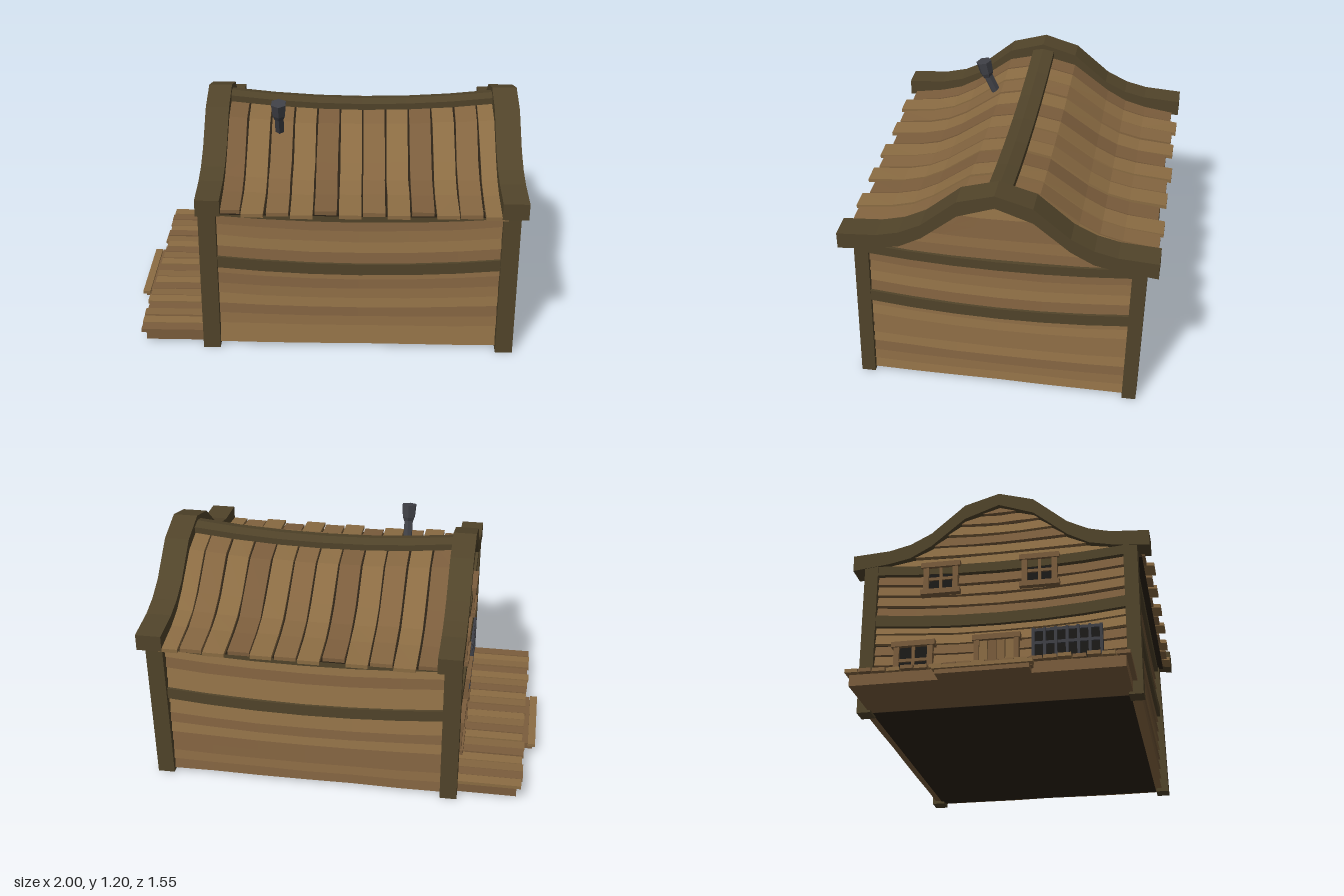
import * as THREE from 'three';

const mat = (c) => new THREE.MeshStandardMaterial({ color: c, flatShading: true, side: THREE.DoubleSide });
const planks = [0x8b6c43, 0x7b5d3c, 0x846540].map(mat);
const beamMat = mat(0x51442a), darkMat = mat(0x2a2115), ironMat = mat(0x3f4046), paneMat = mat(0x1c1a18);

let seed = 7;
const rnd = () => (seed = (seed * 16807) % 2147483647) / 2147483647;
const jit = (a) => (rnd() - 0.5) * 2 * a;

// Closed solid through rings of [x, y, z] corners, with end caps
function loft(parent, name, material, rings) {
  const tris = [], n = rings[0].length;
  for (let i = 0; i < rings.length - 1; i++)
    for (let j = 0; j < n; j++) {
      const k = (j + 1) % n, a = rings[i], b = rings[i + 1];
      tris.push([a[j], a[k], b[k]], [a[j], b[k], b[j]]);
    }
  const first = rings[0], last = rings[rings.length - 1];
  for (let j = 1; j < n - 1; j++) tris.push([first[0], first[j + 1], first[j]], [last[0], last[j], last[j + 1]]);
  // turn the faces outward if the signed volume is negative
  const V = (p) => new THREE.Vector3(...p);
  const volume = tris.reduce((s, [a, b, c]) => s + V(a).dot(V(b).cross(V(c))), 0);
  if (volume < 0) tris.forEach((t) => t.reverse());
  const g = new THREE.BufferGeometry();
  g.setAttribute('position', new THREE.Float32BufferAttribute(tris.flat(2), 3));
  g.computeVertexNormals();
  const m = new THREE.Mesh(g, material);
  m.name = name;
  parent.add(m);
  return m;
}

function box(parent, name, material, x0, x1, y0, y1, z0, z1) {
  const m = new THREE.Mesh(new THREE.BoxGeometry(x1 - x0, y1 - y0, z1 - z0), material);
  m.position.set((x0 + x1) / 2, (y0 + y1) / 2, (z0 + z1) / 2);
  m.name = name;
  parent.add(m);
  return m;
}

function group(parent, name) {
  const g = new THREE.Group();
  g.name = name;
  parent.add(g);
  return g;
}

// Half profiles of the gable: [z, bottom, top] of the trim, [z, y] of the roof planks
const TRIM = [[0, 1.11, 1.178], [0.18, 1.045, 1.125], [0.355, 0.9, 0.975], [0.465, 0.84, 0.92], [0.575, 0.817, 0.893], [0.768, 0.795, 0.88]];
const ROOF = [[0, 1.115], [0.18, 1.07], [0.37, 0.925], [0.47, 0.868], [0.58, 0.836], [0.75, 0.812]];
const CX = 0.183;

// Half width of the gable at height y
function gableHalf(y) {
  for (let i = 0; i < 4; i++) {
    const [z0, a0, b0] = TRIM[i], [z1, a1, b1] = TRIM[i + 1];
    const hi = (a0 + b0) / 2, lo = (a1 + b1) / 2;
    if (y <= hi && y >= lo) return z0 + (z1 - z0) * (hi - y) / (hi - lo);
  }
  return y > 1 ? 0.03 : 0.64;
}

// Sagging horizontal strip on a wall facing local +z
function strip(parent, name, material, y0, y1, h0, h1, d0, d1, sag, rough) {
  const rings = [];
  for (let i = 0; i <= 6; i++) {
    const u = i / 3 - 1, drop = sag * (u * u - 1) + jit(rough);
    rings.push([[u * h0, y0 + drop, d0 - 0.04], [u * h0, y0 + drop, d0], [u * h1, y1 + drop, d1], [u * h1, y1 + drop, d1 - 0.04]]);
  }
  loft(parent, name, material, rings);
}

function wall(parent, name, turn, half, out, gable) {
  const g = group(parent, name);
  g.position.x = CX;
  g.rotation.y = turn;
  const row = (y0, y1, h0, h1, sag, i) =>
    strip(g, 'wallPlank', planks[(i * 2 + (rnd() > 0.6 ? 1 : 0)) % 3], y0 + 0.003, y1 - 0.003, h0, h1, out + 0.012, out - 0.004, sag, 0.0025);
  for (let i = 0; i < 8; i++) row(0.015 + i * 0.0595, 0.015 + (i + 1) * 0.0595, half, half, 0.005 * i, i);
  for (let i = 0; i < 4; i++) row(0.525 + i * 0.061, 0.525 + (i + 1) * 0.061, half, half, 0.036, i);
  strip(g, 'middleBeam', beamMat, 0.47, 0.53, half, half, out + 0.025, out + 0.025, 0.038, 0);
  strip(g, 'topBeam', beamMat, 0.762, 0.812, half, half, out + 0.025, out + 0.025, 0.032, 0);
  if (gable)
    for (let i = 0; i < 6; i++) {
      const y0 = 0.795 + i * 0.058, y1 = y0 + 0.058;
      row(y0, y1, gableHalf(y0), gableHalf(y1), 0.012, i);
    }
  return g;
}

// Framed opening on a wall, centred at s, with pane and bars
function windowFrame(parent, name, s, y0, y1, w, d, barred) {
  const g = group(parent, name), a = s - w / 2, b = s + w / 2, t = 0.028;
  box(g, 'pane', paneMat, a + 0.01, b - 0.01, y0 + 0.01, y1 - 0.01, d - 0.03, d + 0.015);
  if (!barred) {
    box(g, 'sill', planks[1], a - 0.012, b + 0.012, y0, y0 + t, d - 0.02, d + 0.038);
    box(g, 'lintel', planks[1], a - 0.012, b + 0.012, y1 - t, y1, d - 0.02, d + 0.038);
    for (const x of [a, b - t]) box(g, 'jamb', planks[1], x, x + t, y0, y1, d - 0.02, d + 0.03);
    box(g, 'mullion', planks[1], s - 0.008, s + 0.008, y0, y1, d - 0.02, d + 0.024);
    box(g, 'crossBar', planks[1], a, b, (y0 + y1) / 2 - 0.008, (y0 + y1) / 2 + 0.008, d - 0.02, d + 0.024);
  } else {
    for (const y of [y0, y1 - 0.018, y0 + (y1 - y0) * 0.55])
      box(g, 'rail', ironMat, a, b, y, y + 0.016, d - 0.02, d + 0.026);
    for (let i = 0; i < 7; i++) {
      const x = a + (w - 0.014) * i / 6;
      box(g, 'bar', ironMat, x, x + 0.014, y0, y1, d - 0.02, d + 0.032);
    }
  }
}

export function createModel() {
  const model = new THREE.Group();
  model.name = 'cabin';

  // Dark core behind the planks
  const shape = new THREE.Shape([[-0.64, 0.012], [0.64, 0.012], [0.64, 0.75], [0.47, 0.79], [0.36, 0.85], [0.17, 1.0], [0, 1.05],
    [-0.17, 1.0], [-0.36, 0.85], [-0.47, 0.79], [-0.64, 0.75]].map((p) => new THREE.Vector2(...p)));
  const core = new THREE.Mesh(new THREE.ExtrudeGeometry(shape, { depth: 1.5, bevelEnabled: false }), darkMat);
  core.rotation.y = Math.PI / 2;
  core.position.x = CX - 0.75;
  core.name = 'core';
  model.add(core);

  // Walls
  wall(model, 'frontWall', 0, 0.74, 0.665, false);
  wall(model, 'backWall', Math.PI, 0.74, 0.665, false);
  wall(model, 'leftWall', Math.PI / 2, 0.645, 0.765, true);
  const facade = wall(model, 'porchWall', -Math.PI / 2, 0.645, 0.765, true);

  // Windows and door of the porch side
  const d = 0.77;
  windowFrame(facade, 'lowerWindow', -0.43, 0.165, 0.365, 0.2, d);
  windowFrame(facade, 'upperWindow', -0.3, 0.62, 0.8, 0.18, d);
  windowFrame(facade, 'upperWindow', 0.21, 0.62, 0.8, 0.18, d);
  windowFrame(facade, 'barredWindow', 0.345, 0.19, 0.385, 0.35, d, true);
  const door = group(facade, 'door');
  for (let i = 0; i < 4; i++) {
    const x = -0.095 + i * 0.044;
    box(door, 'doorPlank', planks[i % 3], x, x + 0.041, 0.09, 0.345, d - 0.03, d + 0.022);
  }
  for (const x of [-0.12, 0.08]) box(door, 'doorPost', planks[1], x, x + 0.026, 0.085, 0.36, d - 0.03, d + 0.034);
  box(door, 'doorLintel', planks[1], -0.128, 0.114, 0.34, 0.368, d - 0.03, d + 0.04);
  box(door, 'handle', ironMat, 0.05, 0.062, 0.19, 0.23, d, d + 0.034);

  // Leaning corner posts
  for (const [x0, x1] of [[-0.612, -0.525], [0.888, 0.975]])
    for (const s of [1, -1]) {
      const lean = x0 > 0 ? 0.01 : 0;
      const ring = (y, a, b) => [[x0, y, a], [x1, y, a], [x1, y, b], [x0, y, b]];
      loft(model, 'cornerPost', beamMat, [ring(0, s * 0.635 + lean, s * 0.705 + lean), ring(0.84, s * 0.635 - lean, s * 0.705 - lean)]);
    }

  // Curved gable trims
  const trim = [...TRIM.slice(1).reverse().map(([z, a, b]) => [-z, a, b]), ...TRIM];
  for (const [x0, x1] of [[-0.615, -0.495], [0.872, 1.0]])
    loft(model, 'gableTrim', beamMat, trim.map(([z, a, b]) => [[x0, a, z], [x1, a, z], [x1, b, z], [x0, b, z]]));

  // Sagging roof planks over a dark underlay
  const sag = (x, z) => (1 - ((x - 0.188) / 0.69) ** 2) * (0.042 - 0.04 * Math.min(1, Math.abs(z) / 0.7));
  const roofStrip = (name, material, x0, x1, s, end, lift, thick) =>
    loft(model, name, material, ROOF.map(([z, y], i) => {
      const zz = i === ROOF.length - 1 ? end : z, wob = jit(0.002);
      const p = (x, h) => [x + wob, y + lift + h - sag(x, zz), s * zz];
      return [p(x0, -thick), p(x1, -thick), p(x1, 0), p(x0, 0)];
    }));
  const W = 0.1185, ends = [0.735, 0.77, 0.75, 0.768];
  for (const s of [1, -1])
    for (let i = 0; i < 12; i++) {
      const x0 = -0.515 + i * W;
      roofStrip('roofPlank', planks[i % 2 ? 0 : 1 + (i % 4) / 2], x0 + 0.005, x0 + W - 0.005, s, ends[i % 4] + jit(0.004), jit(0.004), 0.02);
      roofStrip('roofUnderlay', darkMat, x0 - 0.003, x0 + W + 0.003, s, 0.72, -0.016, 0.015);
    }

  // Ridge beam
  const ridge = [];
  for (let i = 0; i <= 6; i++) {
    const x = -0.5 + 1.38 * i / 6, y = 1.152 - sag(x, 0);
    ridge.push([[x, y - 0.045, -0.06], [x, y - 0.012, -0.06], [x, y, 0], [x, y - 0.012, 0.055], [x, y - 0.045, 0.055]]);
  }
  loft(model, 'ridgeBeam', beamMat, ridge);

  // Leaning stove pipe with a flared head
  const pipe = group(model, 'stovePipe');
  pipe.position.set(-0.232, 0.98, 0.205);
  pipe.rotation.x = 0.42;
  const tube = new THREE.Mesh(new THREE.CylinderGeometry(0.025, 0.025, 0.17, 6), ironMat);
  tube.position.y = 0.065;
  tube.name = 'pipe';
  pipe.add(tube);
  const head = group(model, 'pipeHead');
  head.position.set(-0.232, 1.105, 0.265);
  head.rotation.x = 0.22;
  for (const [r1, r0, y0, y1] of [[0.036, 0.026, -0.005, 0.02], [0.042, 0.036, 0.02, 0.088]]) {
    const m = new THREE.Mesh(new THREE.CylinderGeometry(r1, r0, y1 - y0, 6), ironMat);
    m.position.y = (y0 + y1) / 2;
    m.name = 'pipeHeadPart';
    head.add(m);
  }

  // Porch deck and step
  const porch = group(model, 'porch');
  box(porch, 'porchBase', planks[1], -0.915, -0.57, 0.012, 0.068, -0.65, 0.655);
  for (let i = 0; i < 20; i++) {
    const z = -0.67 + i * 0.0675, lift = jit(0.003);
    box(porch, 'deckPlank', planks[i % 3], -0.936 + jit(0.008), -0.575, 0.07 + lift, 0.088 + lift, z + 0.003, z + 0.0645);
  }
  box(porch, 'stepBase', planks[1], -0.985, -0.9, 0.012, 0.035, -0.22, 0.22);
  for (let i = 0; i < 2; i++)
    box(porch, 'stepPlank', planks[i], -1 + i * 0.042, -0.961 + i * 0.042, 0.033, 0.05, -0.232 + i * 0.006, 0.24 - i * 0.01);

  return model;
}
